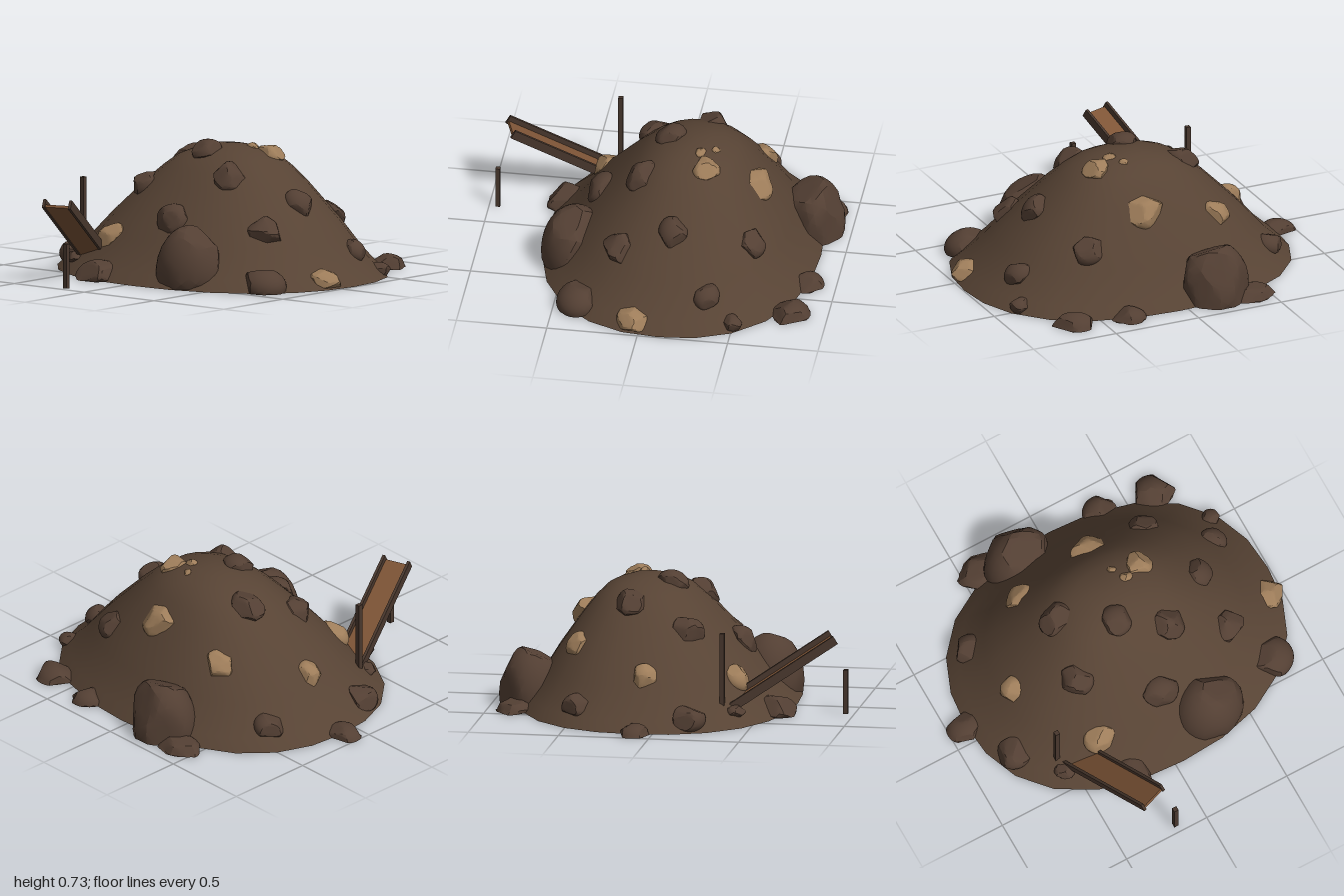
import * as THREE from 'three';
import { toCreasedNormals, mergeVertices } from 'three/addons/utils/BufferGeometryUtils.js';

const UP = new THREE.Vector3(0, 1, 0);

const makeMaterial = (name, color, side = THREE.FrontSide) => {
  const m = new THREE.MeshStandardMaterial({ color, side });
  m.name = name;
  return m;
};

// small seeded random generator
function seeded(seed) {
  let s = seed * 7919 + 17;
  return () => {
    s = (s * 16807) % 2147483647;
    return s / 2147483647;
  };
}

// mound: full oval footprint, rounded bell profile [radius fraction, height], top leaning back
const CX = 0.05, CZ = -0.11, RX = 0.945, RZ = 0.76, POWER = 2.3, LEAN = 0.1;
const PROFILE = [
  [1, 0], [0.93, 0.06], [0.85, 0.13], [0.77, 0.215], [0.69, 0.3], [0.58, 0.405], [0.48, 0.5],
  [0.39, 0.575], [0.31, 0.63], [0.22, 0.665], [0.12, 0.69], [0, 0.7],
];

const ovalRadius = (a, b) => (Math.abs(a) ** POWER + Math.abs(b) ** POWER) ** (1 / POWER);

function profileHeight(r) {
  for (let i = 0; i < PROFILE.length - 1; i++) {
    const [r0, h0] = PROFILE[i], [r1, h1] = PROFILE[i + 1];
    if (r <= r0 && r >= r1) return h0 + ((r0 - r) / (r0 - r1)) * (h1 - h0);
  }
  return 0;
}

function moundHeight(x, z) {
  let h = 0;
  for (let i = 0; i < 8; i++) h = profileHeight(ovalRadius((x - CX) / RX, (z + LEAN * h - CZ) / RZ));
  return h;
}

// slope direction, easing to straight up near the ground
function moundNormal(x, z) {
  const e = 0.04, ease = Math.min(1, moundHeight(x, z) / 0.25);
  const dx = (moundHeight(x - e, z) - moundHeight(x + e, z)) / (2 * e);
  const dz = (moundHeight(x, z - e) - moundHeight(x, z + e)) / (2 * e);
  return new THREE.Vector3(dx * ease, 1, dz * ease).normalize();
}

function moundGeometry() {
  const g = new THREE.LatheGeometry(PROFILE.map(([r, h]) => new THREE.Vector2(r, h)), 24);
  const p = g.attributes.position;
  for (let i = 0; i < p.count; i++) {
    const x = p.getX(i), y = p.getY(i), z = p.getZ(i);
    const k = Math.hypot(x, z) / (ovalRadius(x, z) || 1);
    p.setXYZ(i, CX + x * k * RX, y, CZ + z * k * RZ - LEAN * y);
  }
  g.deleteAttribute('uv');
  g.deleteAttribute('normal');
  const merged = mergeVertices(g, 1e-4);
  merged.computeVertexNormals();
  return merged;
}

// rock: a round pebble with random flat cuts, tilted to the slope, cut open at the ground
function rockGeometry(seed, centre, size, normal = UP, shallowest = 0.68) {
  const rand = seeded(seed);
  for (let i = 0; i < 5; i++) rand();
  const cuts = [];
  for (let i = 0; i < 12; i++) {
    const n = new THREE.Vector3(rand() - 0.5, rand() - 0.5, rand() - 0.5).normalize();
    cuts.push([n, shallowest + rand() * 0.17]);
  }
  const spin = rand() * 6.28;
  const tilt = new THREE.Quaternion().setFromUnitVectors(UP, normal);
  let g = new THREE.IcosahedronGeometry(1, 4);
  g.deleteAttribute('uv');
  g.deleteAttribute('normal');
  g = mergeVertices(g, 1e-4);
  const p = g.attributes.position, v = new THREE.Vector3();
  for (let i = 0; i < p.count; i++) {
    v.fromBufferAttribute(p, i).applyAxisAngle(UP, spin);
    for (const [n, h] of cuts) {
      const over = v.dot(n) - h;
      if (over > 0) v.addScaledVector(n, -over);
    }
    v.multiply(size).applyQuaternion(tilt).add(centre);
    p.setXYZ(i, v.x, Math.max(0, v.y), v.z);
  }
  // leave out the faces lying on the ground
  const kept = [], index = g.index.array;
  for (let i = 0; i < index.length; i += 3) {
    const face = [index[i], index[i + 1], index[i + 2]];
    if (face.some((k) => p.getY(k) > 0)) kept.push(...face);
  }
  g.setIndex(kept);
  return toCreasedNormals(g, 0.45);
}

export function createModel() {
  const group = new THREE.Group();
  const earth = makeMaterial('earth', 0x574334, THREE.DoubleSide);
  const stone = makeMaterial('darkStone', 0x533f33, THREE.DoubleSide);
  const ore = makeMaterial('tanStone', 0x9e7d5a, THREE.DoubleSide);
  const board = makeMaterial('boardWood', 0x7d5436);
  const beam = makeMaterial('beamWood', 0x48372d);

  const add = (name, geometry, material, parent = group) => {
    const mesh = new THREE.Mesh(geometry, material);
    mesh.name = name;
    parent.add(mesh);
    return mesh;
  };
  const vec = (x, y, z) => new THREE.Vector3(x, y, z);

  // hollow heap of earth
  add('moundOfEarth', moundGeometry(), earth);

  // rocks half sunk in the slope: x, z, radius
  const darkRocks = [
    [-0.4, -0.86, 0.12], [0.35, -0.84, 0.095], [0.65, -0.78, 0.125], [0.46, -0.56, 0.085],
    [-0.69, -0.46, 0.08], [-0.28, -0.22, 0.095], [0.79, -0.35, 0.075], [0.58, -0.14, 0.09],
    [0, -0.03, 0.09], [-0.9, -0.1, 0.1], [-0.33, 0.11, 0.095], [0.26, 0.1, 0.1],
    [0.6, 0.17, 0.1], [-0.75, 0.18, 0.095], [0.07, 0.35, 0.1], [0.75, 0.37, 0.12],
    [-0.25, 0.59, 0.12], [-0.56, 0.41, 0.055], [0.85, -0.5, 0.06],
  ];
  const tanRocks = [
    [0.1, -0.54, 0.105], [-0.35, -0.51, 0.08], [0.27, -0.27, 0.08], [-0.63, -0.09, 0.075],
    [0.915, 0.04, 0.09], [-0.33, 0.39, 0.085], [0.17, -0.22, 0.035], [0.12, -0.3, 0.025],
  ];
  // rocks buried at ground level inside the heap
  const buriedRocks = [
    [0.6, -0.55, 0.09], [-0.6, 0.2, 0.09], [-0.6, -0.48, 0.09], [-0.68, -0.3, 0.09], [0.78, 0.18, 0.08],
  ];
  const scatter = (name, list, material, offset, depth) => list.forEach(([x, z, r], i) => {
    const normal = moundNormal(x, z);
    const centre = vec(x, moundHeight(x, z) * depth, z).addScaledVector(normal, -0.16 * r);
    const size = vec(r * 1.1, r * 0.78, r);
    add(name + (i + 1), rockGeometry(offset + i * 3, centre, size, normal), material);
  });
  scatter('darkRock', darkRocks, stone, 5, 1);
  scatter('tanRock', tanRocks, ore, 101, 1);
  scatter('buriedRock', buriedRocks, stone, 151, 0.2);

  // large boulders: two breaking through the slope, two buried
  const boulders = [
    ['frontBoulder', [0.305, 0.07, 0.45], [0.205, 0.27, 0.188]],
    ['backBoulder', [-0.19, 0.06, -0.79], [0.205, 0.27, 0.175]],
    ['buriedBoulderRight', [-0.38, 0.1, -0.08], [0.21, 0.21, 0.21]],
    ['buriedBoulderLeft', [0.53, 0.08, -0.3], [0.2, 0.2, 0.2]],
  ];
  boulders.forEach(([name, centre, size], i) => {
    add(name, rockGeometry(211 + i * 4, vec(...centre), vec(...size), UP, 0.78), stone);
  });

  // sloping board with a rail on each edge
  const low = vec(-0.468, 0.08, 0.36), high = vec(-0.28, 0.435, 0.9);
  const length = low.distanceTo(high);
  const along = high.clone().sub(low).normalize();
  const across = vec(along.z, 0, -along.x).normalize();
  const up = along.clone().cross(across);
  const ramp = new THREE.Group();
  ramp.name = 'ramp';
  ramp.quaternion.setFromRotationMatrix(new THREE.Matrix4().makeBasis(across, up, along));
  ramp.position.copy(low).add(high).multiplyScalar(0.5);
  group.add(ramp);
  add('rampBoard', new THREE.BoxGeometry(0.15, 0.015, length), board, ramp);
  for (const s of [-1, 1]) {
    add(s < 0 ? 'rightRail' : 'leftRail', new THREE.BoxGeometry(0.016, 0.05, length + 0.015), beam, ramp)
      .position.set(s * 0.076, 0.012, 0);
  }

  // upright posts: x, z, bottom, top
  [[-0.57, 0.335, 0.08, 0.51], [-0.17, 0.952, 0, 0.245]].forEach(([x, z, y0, y1], i) => {
    add(i ? 'shortPost' : 'tallPost', new THREE.BoxGeometry(0.026, y1 - y0, 0.026), beam)
      .position.set(x, (y0 + y1) / 2, z);
  });

  return group;
}
